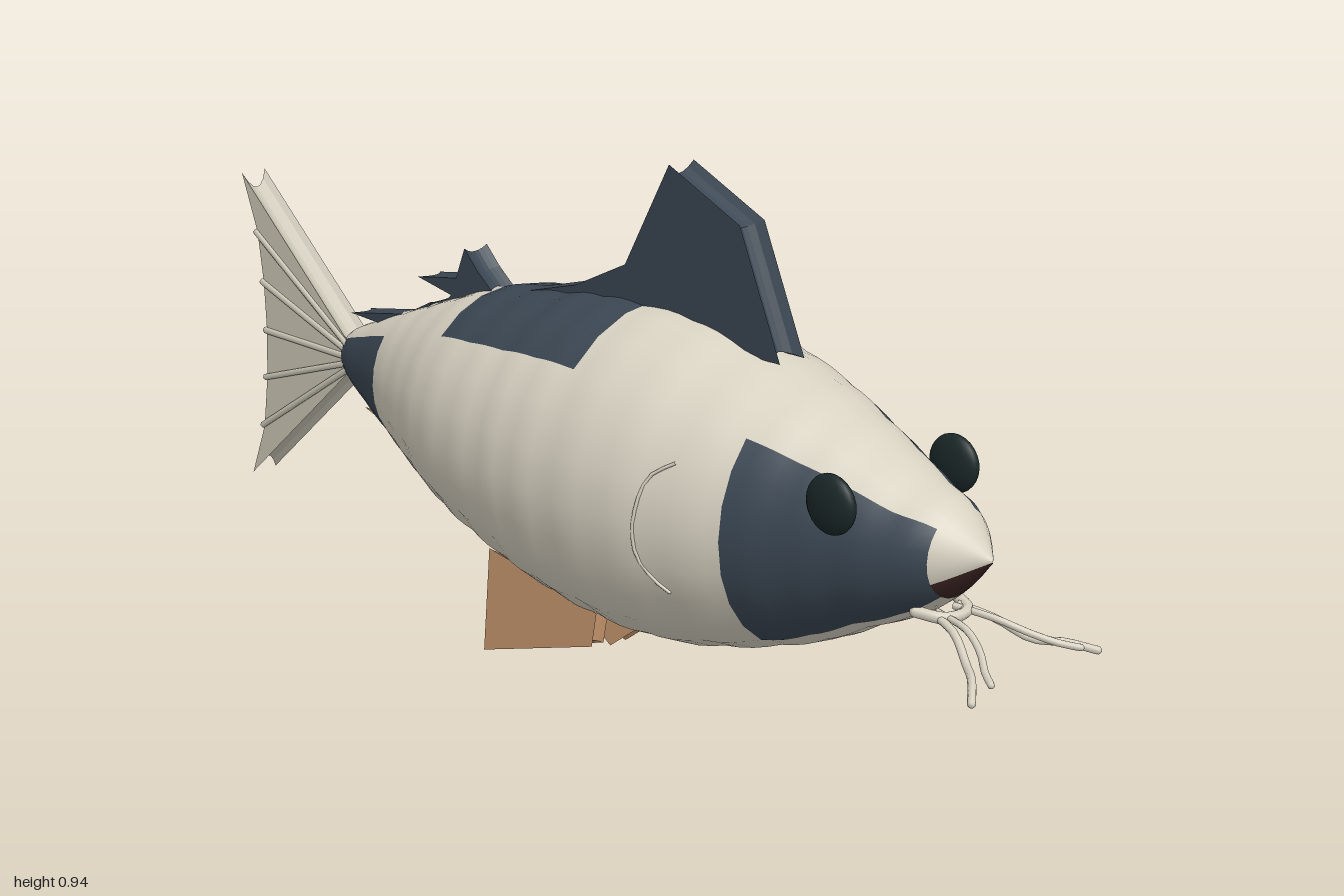
import * as THREE from 'three';

const mat = (name, color, side = THREE.FrontSide) => {
  const m = new THREE.MeshStandardMaterial({ color, side });
  m.name = name;
  return m;
};

export function createModel() {
  const fish = new THREE.Group();
  fish.name = 'fish';
  const cream = mat('cream scales', 0xd8d2c2);
  const slate = mat('slate patches', 0x3a4652, THREE.DoubleSide);
  const orange = mat('orange fins', 0xcc9a70, THREE.DoubleSide);
  const brown = mat('mouth brown', 0x3a2422);
  const black = mat('eye black', 0x1a2728);
  const pale = mat('pale tail', 0xcbc6b6, THREE.DoubleSide);

  const add = (name, geometry, material, parent = fish) => {
    const mesh = new THREE.Mesh(geometry, material);
    mesh.name = name;
    parent.add(mesh);
    return mesh;
  };

  // Body sections: x, top, bottom, half width
  const rows = [
    [-0.71, 0.432, 0.428, 0.002], [-0.685, 0.475, 0.385, 0.035], [-0.6, 0.515, 0.335, 0.065],
    [-0.5, 0.555, 0.295, 0.105], [-0.42, 0.585, 0.265, 0.14], [-0.33, 0.62, 0.235, 0.18],
    [-0.24, 0.65, 0.205, 0.215], [-0.14, 0.67, 0.178, 0.24], [-0.04, 0.685, 0.152, 0.255],
    [0.05, 0.697, 0.135, 0.265], [0.15, 0.7, 0.125, 0.268], [0.27, 0.698, 0.125, 0.265],
    [0.39, 0.672, 0.147, 0.243], [0.51, 0.637, 0.183, 0.208], [0.6, 0.602, 0.218, 0.172],
    [0.68, 0.567, 0.262, 0.142], [0.76, 0.528, 0.302, 0.112], [0.83, 0.5, 0.352, 0.075],
    [0.9, 0.432, 0.428, 0.002],
  ];
  const SUB = 4, SEG = 24;
  const spine = new THREE.CatmullRomCurve3(
    rows.map(([x, t, b]) => new THREE.Vector3(x, (t + b) / 2, (t - b) / 2)), false, 'catmullrom', 0.5);
  const width = new THREE.CatmullRomCurve3(
    rows.map(([x, , , w]) => new THREE.Vector3(x, w, 0)), false, 'catmullrom', 0.5);
  const last = (rows.length - 1) * SUB;

  // Point on the skin, angle measured from the top towards +z
  const skin = (station, angle, lift = 0) => {
    const c = spine.getPoint(station / last), w = width.getPoint(station / last);
    const bulge = 1 + 0.014 * Math.sin(Math.PI * (station % SUB) / SUB);
    return new THREE.Vector3(c.x,
      c.y + (Math.max(c.z, 0.001) * bulge + lift) * Math.cos(angle),
      (Math.max(w.y, 0.001) * bulge + lift) * Math.sin(angle));
  };

  // Patches alternate between the flanks and the back and belly
  const flank = (j) => (j >= 3 && j < 10) || (j >= 15 && j < 22);
  const colourOf = (row, j) => {
    if (row === 17) return j >= 8 && j < 14 ? 2 : 0;
    if (row < 3 || (row >= 13 && row < 17)) return flank(j) ? 1 : 0;
    if (row >= 6 && row < 10) return flank(j) ? 0 : 1;
    return 0;
  };
  const positions = [], faces = [[], [], []];
  for (let i = 0; i <= last; i++) {
    for (let j = 0; j < SEG; j++) positions.push(...skin(i, (j / SEG) * Math.PI * 2).toArray());
  }
  for (let i = 0; i < last; i++) {
    for (let j = 0; j < SEG; j++) {
      const a = i * SEG + j, c = i * SEG + (j + 1) % SEG, b = a + SEG, d = c + SEG;
      faces[colourOf(Math.floor(i / SUB), j)].push(a, c, b, b, c, d);
    }
  }
  const bodyGeo = new THREE.BufferGeometry();
  bodyGeo.setAttribute('position', new THREE.Float32BufferAttribute(positions, 3));
  bodyGeo.setIndex(faces.flat());
  let start = 0;
  faces.forEach((f, k) => { bodyGeo.addGroup(start, f.length, k); start += f.length; });
  bodyGeo.computeVertexNormals();
  add('body', bodyGeo, [cream, slate, brown]);

  // Fin: extruded outline whose rim is hollowed midway between its two faces
  const fin = (name, outline, half, hollow, material, z = 0) => {
    const shape = new THREE.Shape(outline.map(([x, y]) => new THREE.Vector2(x, y)));
    const g = new THREE.ExtrudeGeometry(shape, { depth: half * 2, steps: 6, bevelEnabled: false });
    g.translate(0, 0, -half);
    const cx = outline.reduce((s, p) => s + p[0], 0) / outline.length;
    const cy = outline.reduce((s, p) => s + p[1], 0) / outline.length;
    const p = g.attributes.position;
    for (let i = 0; i < p.count; i++) {
      const k = 1 - hollow * (1 - (p.getZ(i) / half) ** 2);
      p.setXY(i, cx + (p.getX(i) - cx) * k, cy + (p.getY(i) - cy) * k);
    }
    g.translate(0, 0, z);
    g.computeVertexNormals();
    return add(name, g, material);
  };

  fin('dorsalFin', [[0.47, 0.66], [0.375, 0.875], [0.21, 0.95], [0.105, 0.76], [-0.02, 0.7], [-0.2, 0.65], [0.1, 0.66]],
    0.029, 0.1, slate);
  fin('rearDorsalSpine', [[-0.24, 0.64], [-0.285, 0.675], [-0.32, 0.71], [-0.345, 0.65], [-0.455, 0.632], [-0.36, 0.615], [-0.4, 0.58]],
    0.027, 0.15, slate);
  fin('tailSpine', [[-0.42, 0.59], [-0.5, 0.55], [-0.665, 0.52], [-0.54, 0.515], [-0.45, 0.55]],
    0.024, 0.15, slate);
  fin('pelvicFin', [[-0.13, 0.21], [-0.148, 0.008], [0.14, 0.1], [0.152, 0.165], [0, 0.19]],
    0.014, 0.1, orange, 0.125);
  fin('bellyFin', [[-0.1, 0.17], [0.02, 0.07], [0.06, 0.045], [0.14, 0.105], [0.15, 0.14]],
    0.019, 0.15, orange);
  fin('analFin', [[-0.635, 0.335], [-0.54, 0.305], [-0.48, 0.285], [-0.46, 0.32]],
    0.019, 0.15, orange);

  // Tail fin with raised rays on both faces
  const tips = [[-1, 0.742], [-0.955, 0.63], [-0.94, 0.53], [-0.935, 0.43], [-0.94, 0.33], [-0.955, 0.225], [-1, 0.115]];
  fin('tailFin', [[-0.665, 0.455], ...tips, [-0.665, 0.405]], 0.028, 0.1, pale);
  const rays = new THREE.Group();
  rays.name = 'tailRays';
  fish.add(rays);
  for (const z of [-0.028, 0.028]) {
    tips.slice(1, -1).forEach(([x, y]) => {
      const path = new THREE.LineCurve3(
        new THREE.Vector3(-0.66, 0.43 + (y - 0.43) * 0.08, z), new THREE.Vector3(x - 0.005, y, z));
      add('tailRay', new THREE.TubeGeometry(path, 1, 0.007, 6), pale, rays);
    });
  }

  // Paired eyes, gill lines and whiskers
  const tube = (name, pts, r, parent) => {
    const path = new THREE.CatmullRomCurve3(pts.map((p) => new THREE.Vector3(...p)));
    add(name, new THREE.TubeGeometry(path, 12, r, 7), cream, parent);
    const end = add(name + 'Tip', new THREE.SphereGeometry(r, 7, 5), cream, parent);
    end.position.set(...pts[pts.length - 1]);
  };
  for (const s of [1, -1]) {
    const side = new THREE.Group();
    side.name = s > 0 ? 'frontSide' : 'backSide';
    fish.add(side);
    const eye = add('eye', new THREE.SphereGeometry(1, 20, 14), black, side);
    eye.scale.set(0.05, 0.05, 0.02);
    eye.position.set(0.695, 0.507, 0.148 * s);

    const gill = [[48.9, 1.12], [47.6, 1.25], [47, 1.5], [47, 1.75], [47.8, 1.93], [48.6, 2.02]]
      .map(([st, a]) => skin(st, a * s, -0.001).toArray());
    tube('gillLine', gill, 0.003, side);

    tube('outerWhisker', [[0.81, 0.327, 0.03 * s], [0.87, 0.315, 0.05 * s], [0.92, 0.287, 0.08 * s],
      [0.96, 0.283, 0.115 * s], [0.993, 0.268, 0.155 * s]], 0.007, side);
    tube('innerWhisker', [[0.81, 0.327, 0.02 * s], [0.88, 0.322, 0.035 * s], [0.93, 0.305, 0.06 * s],
      [0.965, 0.29, 0.09 * s], [0.993, 0.285, 0.11 * s]], 0.006, side);
  }
  // Lower lip joining the whiskers
  tube('lowerLip', [[0.79, 0.33, -0.05], [0.83, 0.325, -0.03], [0.84, 0.325, 0], [0.83, 0.325, 0.03], [0.79, 0.33, 0.05]], 0.01, fish);

  return fish;
}
